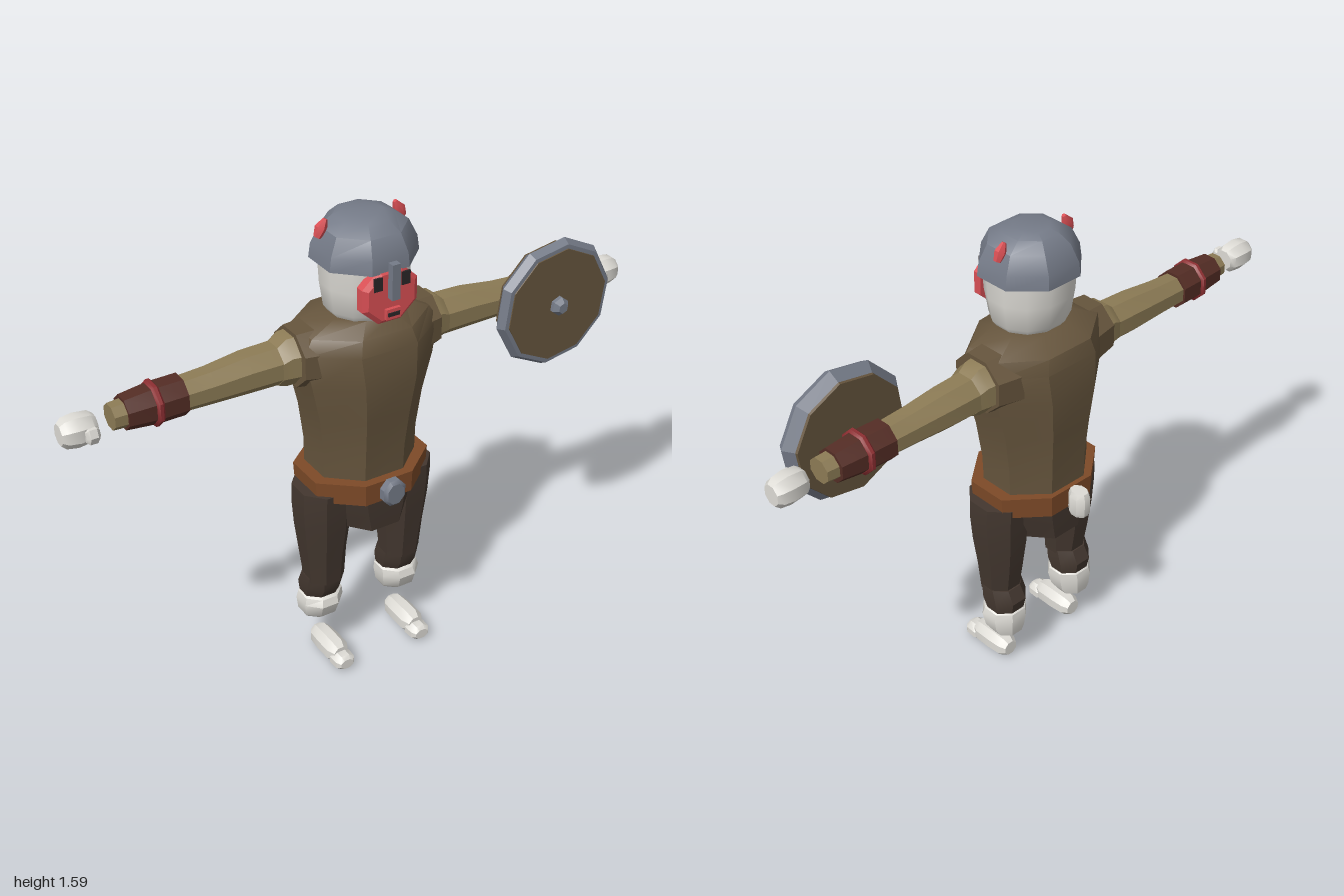
import * as THREE from 'three';
import { toCreasedNormals } from 'three/addons/utils/BufferGeometryUtils.js';

const mat = (name, color) => Object.assign(new THREE.MeshStandardMaterial({ color }), { name });

// Skin through rings [height, centreX, centreZ, halfWidth, halfDepth], flats facing the axes
function loft(rings, sides = 8, crease = 0.6) {
  const pos = [], index = [], k = 1 / Math.cos(Math.PI / sides);
  for (const [y, cx, cz, rx, rz] of rings)
    for (let j = 0; j < sides; j++) {
      const a = ((j + 0.5) / sides) * Math.PI * 2;
      pos.push(cx + Math.cos(a) * rx * k, y, cz + Math.sin(a) * rz * k);
    }
  for (let i = 0; i < rings.length - 1; i++)
    for (let j = 0; j < sides; j++) {
      const p = i * sides + j, n = i * sides + (j + 1) % sides;
      index.push(p, p + sides, n, n, p + sides, n + sides);
    }
  const top = (rings.length - 1) * sides;
  for (let j = 1; j < sides - 1; j++) {
    index.push(0, j, j + 1);
    index.push(top, top + j + 1, top + j);
  }
  const g = new THREE.BufferGeometry();
  g.setAttribute('position', new THREE.Float32BufferAttribute(pos, 3));
  g.setIndex(index);
  return toCreasedNormals(g, crease);
}

export function createModel() {
  const model = new THREE.Group();
  const tunic = mat('tunic brown', 0x66553d), sleeve = mat('sleeve tan', 0x8c7b55);
  const trousers = mat('trouser brown', 0x43372f), leather = mat('belt leather', 0x7d4a28);
  const cuffMat = mat('cuff maroon', 0x542d25), bandMat = mat('band red', 0x8e2f32);
  const pale = mat('pale white', 0xdddbd5), steel = mat('steel grey', 0x757b88);
  const red = mat('face red', 0xd94f54), dark = mat('dark', 0x2b2628);

  const add = (name, geo, material, x = 0, y = 0, z = 0, parent = model) => {
    const m = new THREE.Mesh(geo, material);
    m.name = name;
    m.position.set(x, y, z);
    parent.add(m);
    return m;
  };
  const box = (name, w, h, d, material, x, y, z) =>
    add(name, new THREE.BoxGeometry(w, h, d), material, x, y, z);

  // Body
  add('torso', loft([
    [0.7, 0, 0.01, 0.17, 0.148], [0.82, 0, 0.012, 0.172, 0.152],
    [0.95, 0, 0.015, 0.188, 0.165], [1.08, 0, 0.018, 0.218, 0.178],
    [1.19, 0, 0.017, 0.24, 0.168], [1.24, 0, 0.015, 0.21, 0.155],
    [1.28, 0, 0.025, 0.125, 0.105],
  ]), tunic);
  add('belt', loft([[0.655, 0, 0.017, 0.205, 0.17], [0.73, 0, 0.017, 0.21, 0.172]]), leather);
  add('hips', loft([[0.535, 0, 0.017, 0.125, 0.152], [0.6, 0, 0.017, 0.155, 0.155],
    [0.67, 0, 0.017, 0.175, 0.155]]), trousers);
  add('buckle', loft([[0.198, 0, 0, 0.04, 0.045], [0.22, 0, 0, 0.04, 0.045],
    [0.23, 0, 0, 0.03, 0.035]]).rotateX(Math.PI / 2), steel, 0, 0.695, 0);
  add('backPouch', loft([[0.645, 0, -0.19, 0.024, 0.03], [0.66, 0, -0.19, 0.029, 0.037],
    [0.715, 0, -0.19, 0.029, 0.037], [0.735, 0, -0.19, 0.022, 0.03]]), pale);

  // Head, mask and helmet
  add('head', loft([
    [1.265, 0, 0.035, 0.1, 0.09], [1.3, 0, 0.035, 0.125, 0.118],
    [1.38, 0, 0.036, 0.137, 0.13], [1.47, 0, 0.036, 0.142, 0.136],
  ], 12, 1), pale);
  add('mask', loft([[0.15, 0, 0, 0.096, 0.088], [0.178, 0, 0, 0.096, 0.088],
    [0.19, 0, 0, 0.08, 0.074]], 8, 0.3).rotateX(Math.PI / 2), red, 0, 1.378, 0);
  for (const s of [-1, 1]) box('eye', 0.03, 0.043, 0.006, dark, s * 0.048, 1.427, 0.19);
  box('lips', 0.05, 0.034, 0.02, red, 0, 1.325, 0.192);
  box('mouth', 0.04, 0.012, 0.005, dark, 0, 1.325, 0.203);
  add('helmet', loft([
    [1.455, 0, 0.035, 0.156, 0.15], [1.5, 0, 0.035, 0.15, 0.146],
    [1.555, 0, 0.035, 0.125, 0.12], [1.585, 0, 0.03, 0.085, 0.085],
    [1.596, 0, 0.028, 0.055, 0.055],
  ], 8, 0.5), steel);
  box('noseGuard', 0.028, 0.115, 0.024, steel, 0, 1.433, 0.203);

  for (const s of [-1, 1]) {
    const horn = add('horn', loft([[-0.03, 0, 0, 0.01, 0.01], [0, 0, 0, 0.018, 0.015],
      [0.03, 0, 0, 0.006, 0.006]], 6), red, s * 0.135, 1.56, 0.015);
    horn.rotation.z = s * 0.5;

    // Arms are lofted outward along x; each ring is [x, rise, z, halfHeight, halfDepth]
    const arm = new THREE.Group();
    arm.name = s > 0 ? 'leftArm' : 'rightArm';
    arm.position.y = 1.14;
    model.add(arm);
    const limb = (name, rings, material, sides = 8) => add(name,
      loft(rings.map(([x, h, z, rh, rz]) => [x, -s * h, z, rh, rz]), sides)
        .rotateZ(-s * Math.PI / 2), material, 0, 0, 0, arm);
    limb('tunicShoulder', [[0.12, 0.015, 0.008, 0.1, 0.12], [0.245, 0.02, 0.006, 0.09, 0.095]], tunic);
    limb('shoulder', [[0.18, 0.02, 0.005, 0.08, 0.09], [0.27, 0.015, 0, 0.08, 0.072],
      [0.3, 0.008, 0, 0.064, 0.066]], sleeve);
    limb('sleeve', [[0.27, 0.01, 0, 0.064, 0.067], [0.4, 0.008, -0.002, 0.062, 0.064],
      [0.52, 0.002, 0, 0.054, 0.056], [0.63, 0, 0, 0.05, 0.052],
      [0.84, 0, 0.008, 0.038, 0.04]], sleeve);
    limb('cuff', [[0.61, 0, 0, 0.06, 0.06], [0.7, 0, 0.002, 0.06, 0.06],
      [0.8, 0, 0.004, 0.05, 0.052]], cuffMat);
    limb('cuffBand', [[0.69, 0, 0.002, 0.06, 0.06], [0.697, 0, 0.002, 0.067, 0.067],
      [0.707, 0, 0.002, 0.067, 0.067], [0.714, 0, 0.002, 0.06, 0.06]], bandMat);
    limb('hand', [[0.89, -0.005, 0.015, 0.033, 0.03], [0.905, -0.005, 0.015, 0.044, 0.041],
      [0.95, -0.005, 0.015, 0.049, 0.045], [0.985, -0.005, 0.014, 0.044, 0.04],
      [1, -0.005, 0.014, 0.032, 0.03]], pale);
    limb('thumb', [[0.895, -0.01, 0.055, 0.016, 0.012], [0.905, -0.01, 0.058, 0.024, 0.018],
      [0.928, -0.01, 0.058, 0.024, 0.018], [0.938, -0.01, 0.055, 0.016, 0.012]], pale, 6);

    // Legs
    const x = s * 0.15;
    add('leg', loft([
      [0.31, x - s * 0.002, 0.025, 0.063, 0.062], [0.42, x, 0.022, 0.072, 0.076],
      [0.53, x, 0.023, 0.085, 0.09], [0.62, x + s * 0.002, 0.024, 0.089, 0.096],
      [0.68, x + s * 0.002, 0.024, 0.087, 0.098],
    ]), trousers);
    add('trouserCuff', loft([[0.235, x, -0.003, 0.062, 0.056], [0.28, x, 0.005, 0.068, 0.073],
      [0.325, x, 0.018, 0.064, 0.062]]), trousers);
    add('ankle', loft([[0.14, x + s * 0.004, -0.015, 0.05, 0.045], [0.165, x + s * 0.004, -0.002, 0.065, 0.063],
      [0.21, x + s * 0.003, 0.003, 0.072, 0.073], [0.235, x, 0.001, 0.068, 0.066],
      [0.245, x, 0, 0.055, 0.052]]), pale);

    // Feet are lofted forward along z
    const foot = (name, rings, y) => add(name, loft(rings).rotateX(Math.PI / 2), pale, x, y, 0);
    foot('foot', [[-0.022, 0, 0, 0.025, 0.025], [0, 0, 0, 0.037, 0.037], [0.05, 0, 0, 0.04, 0.04],
      [0.11, 0, 0, 0.039, 0.039], [0.135, 0, 0, 0.026, 0.028]], 0.041);
    foot('toe', [[0.11, 0, 0, 0.026, 0.018], [0.125, 0, 0, 0.037, 0.027],
      [0.162, 0, 0, 0.035, 0.026], [0.176, 0, 0, 0.024, 0.017]], 0.028);
  }

  // Round shield carried on the left forearm
  const shield = new THREE.Group();
  shield.name = 'shield';
  shield.position.set(0.67, 1.14, 0);
  shield.rotation.z = -0.14;
  model.add(shield);
  const disc = (name, rings, material, sides = 10) => add(name,
    loft(rings.map(([z, r]) => [z, 0, 0, r, r]), sides, 0.3).rotateX(Math.PI / 2), material, 0, 0, 0, shield);
  disc('shieldRim', [[0.078, 0.186], [0.112, 0.212], [0.138, 0.198], [0.139, 0.184]], steel);
  disc('shieldFace', [[0.135, 0.186], [0.142, 0.184]], tunic);
  disc('shieldBack', [[0.072, 0.186], [0.08, 0.188]], tunic);
  disc('shieldBoss', [[0.14, 0.028], [0.155, 0.028], [0.172, 0.016]], steel, 6);

  return model;
}
